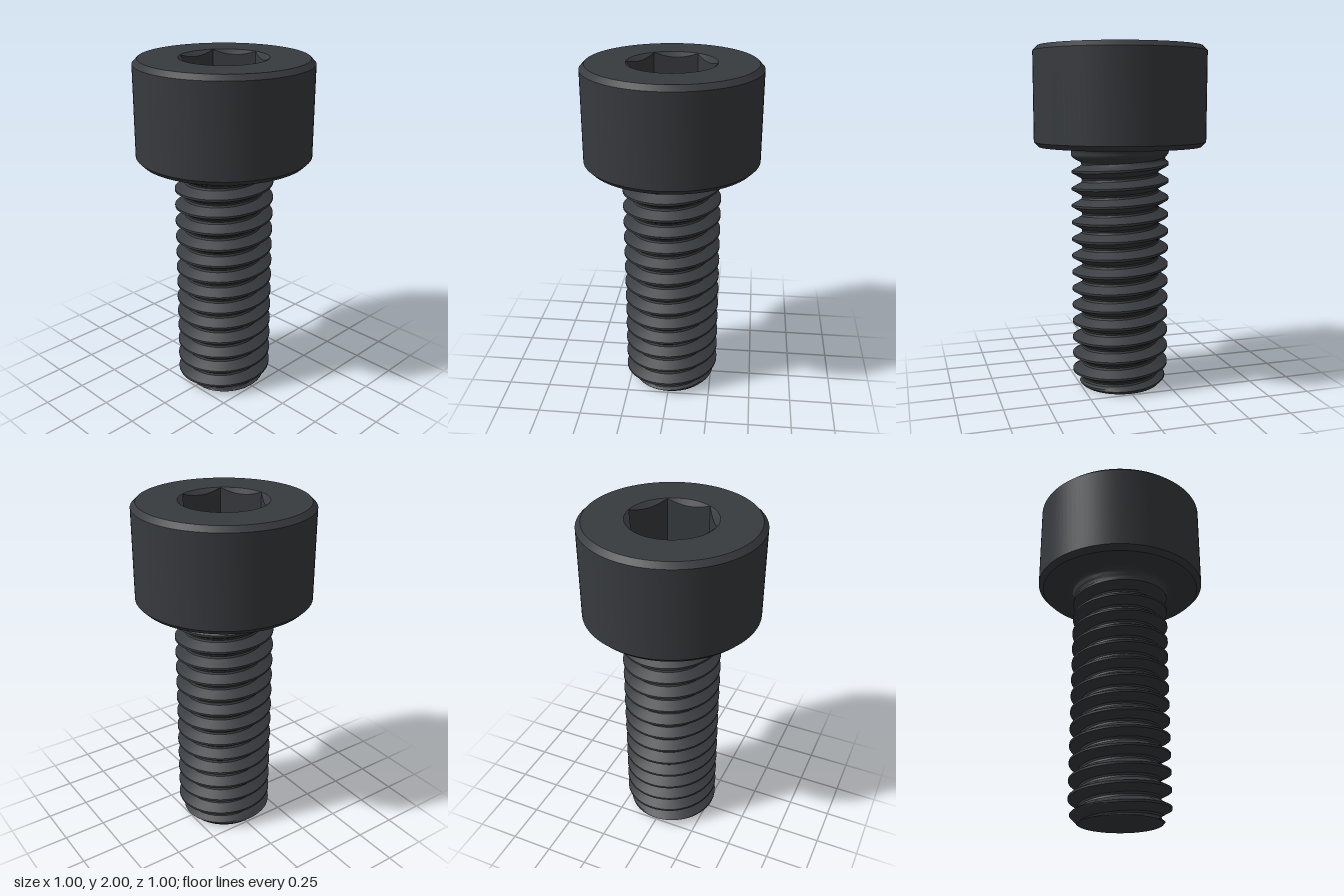
import * as THREE from 'three';
import { toCreasedNormals } from 'three/addons/utils/BufferGeometryUtils.js';

const PITCH = 0.1, CREST = 0.285, ROOT = 0.224, PHASE = 0.01;
const HEAD_BASE = 1.4286, SHANK_TOP = 1.4, FILLET = HEAD_BASE - SHANK_TOP;
const TAU = Math.PI * 2;

// Skin rows of points around the y axis; each row is a function phi -> [radius, height]
function skin(rows, segments, crease) {
  const at = (row, j) => {
    const phi = (j / segments) * TAU;
    const [r, y] = row(phi);
    return new THREE.Vector3(r * Math.cos(phi), y, -r * Math.sin(phi));
  };
  const grid = rows.map(row => Array.from({ length: segments + 1 }, (_, j) => at(row, j)));
  const out = [];
  const tri = (a, b, c) => {
    if (new THREE.Triangle(a, b, c).getArea() < 1e-8) return;
    for (const p of [a, b, c]) out.push(p.x, p.y, p.z);
  };
  for (let i = 0; i < rows.length - 1; i++) {
    for (let j = 0; j < segments; j++) {
      const a = grid[i][j], b = grid[i][j + 1], c = grid[i + 1][j + 1], d = grid[i + 1][j];
      tri(a, b, d);
      tri(b, c, d);
    }
  }
  const geometry = new THREE.BufferGeometry();
  geometry.setAttribute('position', new THREE.Float32BufferAttribute(out, 3));
  return toCreasedNormals(geometry, crease);
}

// Radius of the right-handed thread, with end chamfer and run-out below the head
function threadRadius(phi, y) {
  const s = (y - PHASE) / PITCH - phi / TAU;
  const fromCrest = Math.abs(s - Math.round(s));
  const t = THREE.MathUtils.clamp((fromCrest - 0.0625) / 0.3225, 0, 1);
  const rootCurve = fromCrest > 0.385 ? 0.004 * (fromCrest - 0.385) / 0.115 : 0;
  const depth = (CREST - ROOT - 0.004) * t + rootCurve;
  const fade = 1 - THREE.MathUtils.smoothstep(y, 1.32, SHANK_TOP);
  return Math.min(CREST - depth * fade, 0.235 + y);
}

// Threaded shank: rows follow the helix and are trimmed flat at both ends
function shankGeometry() {
  const steps = [-0.0625, 0, 0.0625, 0.17, 0.28, 0.385, 0.44, 0.5, 0.56, 0.615, 0.72, 0.83];
  const rows = [() => [0, 0]];
  for (let k = -2; k <= 14; k++) {
    for (const s of steps) {
      rows.push(phi => {
        const y = THREE.MathUtils.clamp(PHASE + PITCH * (k + s + phi / TAU), 0, SHANK_TOP);
        return [threadRadius(phi, y), y];
      });
    }
  }
  return skin(rows, 96, 0.5);
}

// Head with fillet underneath and chamfered rims
function headGeometry() {
  const points = [];
  for (let i = 0; i <= 6; i++) {
    const a = (i / 6) * Math.PI / 2;
    points.push([CREST + FILLET * (1 - Math.cos(a)), SHANK_TOP + FILLET * Math.sin(a)]);
  }
  points.push([0.472, HEAD_BASE], [0.5, HEAD_BASE + 0.028], [0.5, 1.972], [0.472, 2], [0.25, 2]);
  const profile = points.map(([r, y]) => new THREE.Vector2(r, y));
  return toCreasedNormals(new THREE.LatheGeometry(profile, 96), 0.5);
}

// Hexagonal socket with a conical lead-in
function socketGeometry() {
  const hex = phi => 0.2155 / Math.cos((phi % (Math.PI / 3)) - Math.PI / 6);
  return skin([
    () => [0.25, 2],
    phi => [hex(phi), 2 - (0.25 - hex(phi)) * 0.7],
    phi => [hex(phi), 1.71],
    () => [0, 1.71],
  ], 96, 0.5);
}

export function createModel() {
  const group = new THREE.Group();
  group.name = 'socketHeadScrew';
  const material = new THREE.MeshStandardMaterial({ color: 0x383b3f });
  const parts = { threadedShank: shankGeometry(), head: headGeometry(), hexSocket: socketGeometry() };
  for (const [name, geometry] of Object.entries(parts)) {
    const mesh = new THREE.Mesh(geometry, material);
    mesh.name = name;
    group.add(mesh);
  }
  return group;
}
